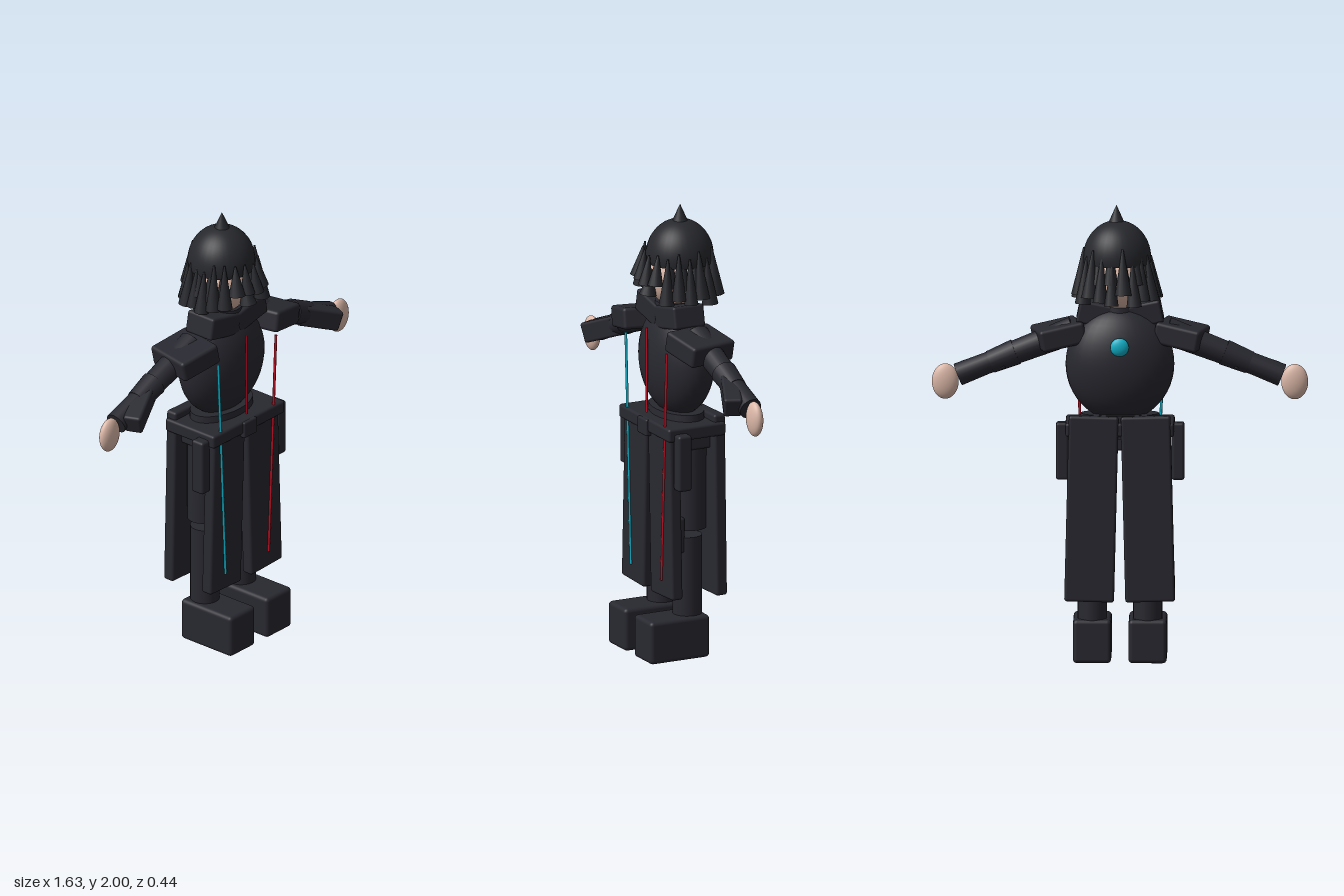
import * as THREE from 'three';
import { RoundedBoxGeometry } from 'three/addons/geometries/RoundedBoxGeometry.js';

export function createModel() {
  const root = new THREE.Group();
  root.name = 'coatedFigure';

  const mat = (name, color, side = THREE.FrontSide) => {
    const m = new THREE.MeshStandardMaterial({ color, side });
    m.name = name;
    return m;
  };
  const cloth = mat('dark cloth', 0x282830);
  const hair = mat('dark hair', 0x27282d, THREE.DoubleSide);
  const skin = mat('skin', 0xdcb8a8);
  const cyan = mat('cyan', 0x10b4cc);
  const red = mat('red', 0xc80f24);

  const add = (name, geo, material, pos = [0, 0, 0], rot = [0, 0, 0]) => {
    const mesh = new THREE.Mesh(geo, material);
    mesh.name = name;
    mesh.position.set(...pos);
    mesh.rotation.set(...rot);
    root.add(mesh);
    return mesh;
  };
  const box = (name, size, pos, rot, r = 0.012) =>
    add(name, new RoundedBoxGeometry(...size, 3, r), cloth, pos, rot);
  const ball = (name, radii, pos, material) => {
    const mesh = add(name, new THREE.SphereGeometry(1, 32, 24), material, pos);
    mesh.scale.set(...radii);
    return mesh;
  };
  // Cylinder or cone running between two points
  const rod = (name, a, b, ra, rb, material, sides = 20) => {
    const from = new THREE.Vector3(...a), to = new THREE.Vector3(...b);
    const dir = to.clone().sub(from);
    const mesh = add(name, new THREE.CylinderGeometry(rb, ra, dir.length(), sides), material);
    mesh.position.copy(from).add(to).multiplyScalar(0.5);
    mesh.quaternion.setFromUnitVectors(new THREE.Vector3(0, 1, 0), dir.normalize());
    return mesh;
  };

  // Head and hair cap
  ball('head', [0.115, 0.135, 0.125], [0, 1.675, -0.02], skin);
  const cap = add('hairCap', new THREE.SphereGeometry(1, 32, 20, 0, Math.PI * 2, 0, Math.PI * 0.55),
    hair, [0.012, 1.77, -0.03]);
  cap.scale.set(0.147, 0.162, 0.147);
  rod('hairSpike', [0.015, 1.915, -0.03], [0.015, 2, -0.03], 0.038, 0, hair);

  // Hanging locks: an outer ring, short over the face, and an inner ring
  let seed = 7;
  const rand = () => (seed = (seed * 16807) % 2147483647) / 2147483647;
  const lock = (angle, ring, base, height, radius) => {
    const s = Math.sin(angle), c = Math.cos(angle), tip = ring - 0.02;
    rod('hairLock', [0.01 + s * ring, base, -0.025 + c * ring],
      [0.01 + s * tip, base + height, -0.025 + c * tip], radius, 0.004, hair, 14);
  };
  const count = 20;
  for (let i = 0; i < count; i++) {
    const angle = ((i + 0.5) / count) * Math.PI * 2;
    const front = Math.cos(angle) > 0.72;
    const base = front ? 1.665 + rand() * 0.03 : 1.57 + rand() * 0.06;
    lock(angle, 0.155 + rand() * 0.025, base, front ? 0.13 : 0.17 + rand() * 0.04, 0.03 + rand() * 0.008);
  }
  for (let i = 0; i < 12; i++) {
    const angle = 0.8 + (i / 11) * (Math.PI * 2 - 1.6);
    lock(angle, 0.14, 1.64 + rand() * 0.03, 0.17, 0.033);
  }
  lock(0, 0.15, 1.61, 0.11, 0.038);

  // Torso, neck, waist and belt
  ball('torso', [0.235, 0.25, 0.14], [0, 1.305, -0.02], cloth);
  add('neck', new THREE.CylinderGeometry(0.075, 0.085, 0.12, 24), cloth, [0, 1.51, 0]);
  add('waist', new THREE.CylinderGeometry(0.17, 0.18, 0.1, 28), cloth, [0, 1.04, -0.02]).scale.z = 0.6;
  box('hips', [0.36, 0.1, 0.15], [0, 0.985, -0.03]);
  box('belt', [0.47, 0.06, 0.28], [0, 1.03, 0]);
  box('buckle', [0.085, 0.075, 0.03], [0, 1.02, 0.135], [0, 0, 0], 0.008);
  ball('backOrb', [0.04, 0.04, 0.02], [0, 1.395, -0.155], cyan);

  for (const s of [1, -1]) {
    // Collar and shoulder
    box('collar', [0.19, 0.1, 0.15], [s * 0.088, 1.52, 0.01], [0, 0, s * 0.2]);
    box('shoulderPad', [0.2, 0.095, 0.23], [s * 0.265, 1.43, 0.005], [0, s * 0.2, -s * 0.2], 0.015);

    // Arm
    rod('upperArm', [s * 0.2, 1.45, -0.015], [s * 0.46, 1.35, -0.015], 0.06, 0.052, cloth);
    rod('elbow', [s * 0.45, 1.355, -0.015], [s * 0.56, 1.31, -0.015], 0.057, 0.05, cloth);
    rod('forearm', [s * 0.5, 1.335, -0.015], [s * 0.7, 1.255, -0.015], 0.045, 0.05, cloth);
    box('sleeveFlap', [0.21, 0.09, 0.08], [s * 0.585, 1.295, 0.02], [0, -s * 0.4, -s * 0.35]);
    ball('hand', [0.058, 0.077, 0.03], [s * 0.755, 1.225, -0.005], skin);

    // Leg and boot
    rod('thigh', [s * 0.11, 0.57, -0.03], [s * 0.1, 0.98, -0.03], 0.068, 0.075, cloth);
    rod('shin', [s * 0.12, 0.15, -0.01], [s * 0.12, 0.545, -0.01], 0.064, 0.064, cloth);
    box('boot', [0.165, 0.19, 0.29], [s * 0.12, 0.097, 0.065], [0, 0, 0], 0.018);
    box('kneePad', [0.1, 0.16, 0.045], [s * 0.12, 0.555, 0.047]);

    // Coat panels and hip pouch
    box('frontPanel', [0.205, 0.75, 0.055], [s * 0.122, 0.66, 0.098], [0, 0, s * 0.035]);
    box('backPanel', [0.215, 0.81, 0.055], [s * 0.122, 0.685, -0.118], [0, 0, s * 0.025]);
    box('hipPouch', [0.055, 0.25, 0.065], [s * 0.25, 0.91, 0.08]);

    // Coloured piping down the coat
    rod('sidePiping', [s * 0.142, 0.36, 0.127], [s * 0.19, 1.39, 0.127], 0.006, 0.006,
      s > 0 ? red : cyan, 8);
  }
  rod('centrePiping', [0, 1.08, 0.125], [0, 1.46, 0.125], 0.005, 0.005, red, 8);

  return root;
}
